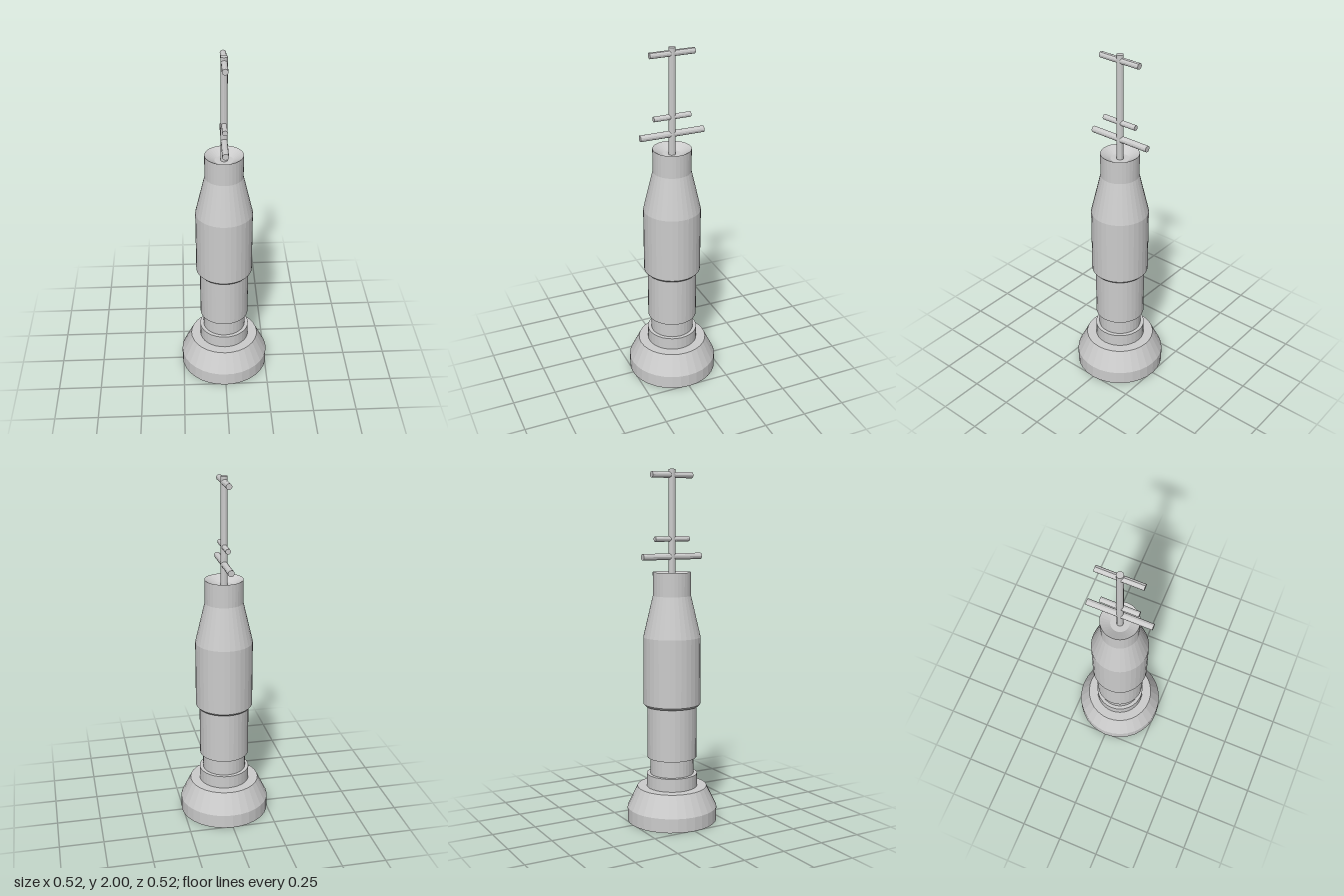
import * as THREE from 'three';

export function createModel() {
  const model = new THREE.Group();
  const material = new THREE.MeshStandardMaterial({ color: 0xcccccc, flatShading: true });

  function add(name, geometry, y = 0) {
    const mesh = new THREE.Mesh(geometry, material);
    mesh.name = name;
    mesh.position.y = y;
    model.add(mesh);
    return mesh;
  }

  // Turned parts: [radius, height] profiles running from bottom to top
  function turned(name, profile) {
    const points = profile.map(([r, y]) => new THREE.Vector2(r, y));
    return add(name, new THREE.LatheGeometry(points, 32));
  }

  // Flared foot with a sloping shoulder
  turned('base', [[0, 0], [0.258, 0], [0.258, 0.08], [0.2, 0.2], [0, 0.2]]);

  // Collar and narrow waist above the foot
  turned('collar', [[0.145, 0.2], [0.145, 0.275], [0, 0.275]]);
  turned('waist', [[0.124, 0.275], [0.124, 0.372]]);

  // Lower barrel
  turned('lowerBody', [[0, 0.372], [0.142, 0.372], [0.142, 0.672]]);

  // Upper barrel, tapering to a neck with a shallow dished top
  turned('upperBody', [
    [0, 0.672], [0.153, 0.672], [0.163, 0.684], [0.163, 1.067],
    [0.108, 1.3], [0.108, 1.433], [0.052, 1.4], [0, 1.4],
  ]);

  // Mast rising from the dish
  add('mast', new THREE.CylinderGeometry(0.019, 0.019, 0.61, 12), 1.695);

  // Crossbars running front to back: [name, height, radius, length]
  const bars = [
    ['lowerCrossbar', 1.519, 0.018, 0.372],
    ['middleCrossbar', 1.617, 0.015, 0.216],
    ['topCrossbar', 1.968, 0.017, 0.256],
  ];
  for (const [name, y, radius, length] of bars) {
    add(name, new THREE.CylinderGeometry(radius, radius, length, 12).rotateX(Math.PI / 2), y);
  }

  return model;
}
